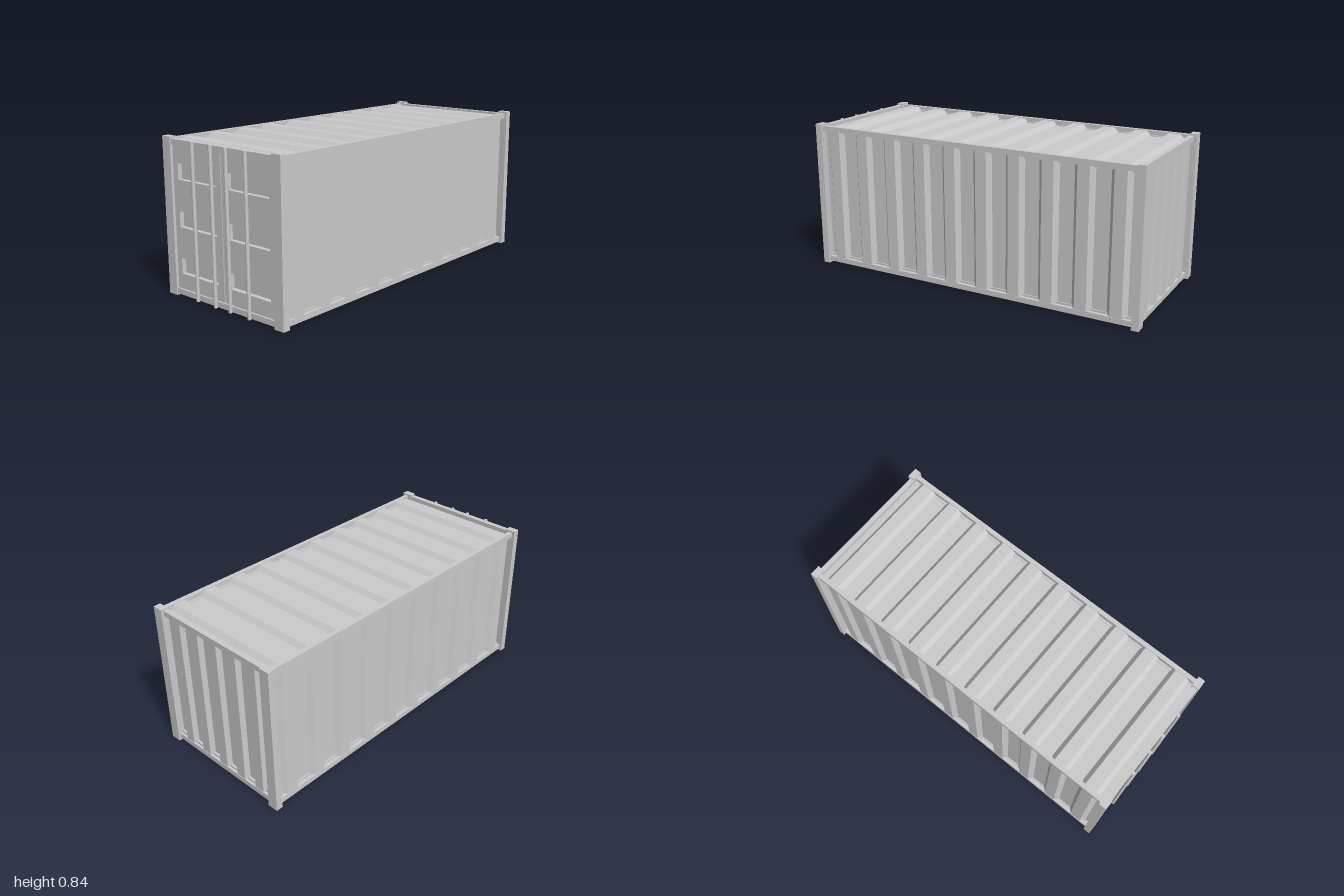
import * as THREE from 'three';

const material = new THREE.MeshStandardMaterial({ color: 0xcccccc, flatShading: true });

// Half extents of the frame
const HEIGHT = 0.84, MID_Y = 0.42, X0 = -0.985, X1 = 0.985, SIDE_Z = 0.41;

function add(parent, name, geometry, x = 0, y = 0, z = 0) {
  const mesh = new THREE.Mesh(geometry, material);
  mesh.name = name;
  mesh.position.set(x, y, z);
  parent.add(mesh);
  return mesh;
}

// Box given by its min and max corners
function block(parent, name, [ax, ay, az], [bx, by, bz]) {
  return add(parent, name, new THREE.BoxGeometry(bx - ax, by - ay, bz - az),
    (ax + bx) / 2, (ay + by) / 2, (az + bz) / 2);
}

// Trapezoid ribs along x, ridge tops at y = 0, extruded along z
function corrugated({ count, period, ridge, slope, start, end, length, depth = 0.025 }) {
  const shape = new THREE.Shape();
  shape.moveTo(start, -depth - 0.012);
  shape.lineTo(end, -depth - 0.012);
  shape.lineTo(end, -depth);
  for (let i = count - 1; i >= 0; i--) {
    const c = (i - (count - 1) / 2) * period;
    shape.lineTo(c + ridge / 2 + slope, -depth);
    shape.lineTo(c + ridge / 2, 0);
    shape.lineTo(c - ridge / 2, 0);
    shape.lineTo(c - ridge / 2 - slope, -depth);
  }
  shape.lineTo(start, -depth);
  const g = new THREE.ExtrudeGeometry(shape, { depth: length, bevelEnabled: false });
  return g.translate(0, 0, -length / 2);
}

function buildFrame(group) {
  // Corner posts
  for (const [name, ax, bx] of [['doorPost', -0.99, -0.95], ['endPost', 0.96, 1]])
    for (const s of [-1, 1])
      block(group, name, [ax, 0, s * 0.395 - 0.03], [bx, HEIGHT, s * 0.395 + 0.03]);

  // Top and bottom rails
  for (const [level, y0, y1] of [['bottom', 0.01, 0.04], ['top', 0.8, 0.83]]) {
    for (const s of [-1, 1])
      block(group, level + 'SideRail', [-0.97, y0, s * 0.3975 - 0.0125], [0.97, y1, s * 0.3975 + 0.0125]);
    block(group, level + 'DoorRail', [X0, y0, -0.38], [X0 + 0.03, y1, 0.38]);
    block(group, level + 'EndRail', [X1 - 0.027, y0, -0.38], [X1, y1, 0.38]);
  }
}

function buildPanels(group) {
  const long = { count: 10, period: 0.1934, ridge: 0.066, slope: 0.023, start: -0.97, end: 0.97 };
  const wall = corrugated({ ...long, length: 0.77 });
  const deck = corrugated({ ...long, length: 0.78 });
  const endWall = corrugated({
    count: 5, period: 0.14, ridge: 0.06, slope: 0.014, start: -0.38, end: 0.38, length: 0.77,
  });

  add(group, 'frontWall', wall, 0, MID_Y, SIDE_Z - 0.002).rotation.x = Math.PI / 2;
  add(group, 'backWall', wall, 0, MID_Y, -SIDE_Z + 0.002).rotation.x = -Math.PI / 2;
  add(group, 'roof', deck, 0, 0.826, 0);
  add(group, 'floor', deck, 0, 0.014, 0).rotation.z = Math.PI;
  endWall.rotateX(Math.PI / 2);
  add(group, 'endWall', endWall, X1 - 0.003, MID_Y, 0).rotation.y = Math.PI / 2;
}

function buildDoors(group) {
  // Each leaf has three recessed pockets
  for (const s of [-1, 1]) {
    const a = s < 0 ? -0.37 : 0.002, b = s < 0 ? -0.002 : 0.37;
    const leaf = new THREE.Shape([
      new THREE.Vector2(a, 0.035), new THREE.Vector2(b, 0.035),
      new THREE.Vector2(b, 0.805), new THREE.Vector2(a, 0.805),
    ]);
    for (const y of [0.165, 0.415, 0.665]) {
      const l = s * 0.1875 - 0.1425, r = s * 0.1875 + 0.1425;
      leaf.holes.push(new THREE.Path([
        new THREE.Vector2(l, y - 0.042), new THREE.Vector2(l, y + 0.042),
        new THREE.Vector2(r, y + 0.042), new THREE.Vector2(r, y - 0.042),
      ]));
    }
    const g = new THREE.ExtrudeGeometry(leaf, { depth: 0.025, bevelEnabled: false });
    add(group, 'doorLeaf', g, -0.95, 0, 0).rotation.y = -Math.PI / 2;
  }
  block(group, 'doorBacking', [-0.95, 0.035, -0.38], [-0.938, 0.805, 0.38]);

  // Locking rods
  for (const z of [-0.192, -0.055, 0.055, 0.192])
    add(group, 'lockRod', new THREE.CylinderGeometry(0.01, 0.01, 0.826, 12), -0.99, 0.419, z);
}

export function createModel() {
  const group = new THREE.Group();
  group.name = 'shippingContainer';
  for (const [name, build] of [['frame', buildFrame], ['panels', buildPanels], ['doors', buildDoors]]) {
    const part = new THREE.Group();
    part.name = name;
    build(part);
    group.add(part);
  }
  return group;
}
